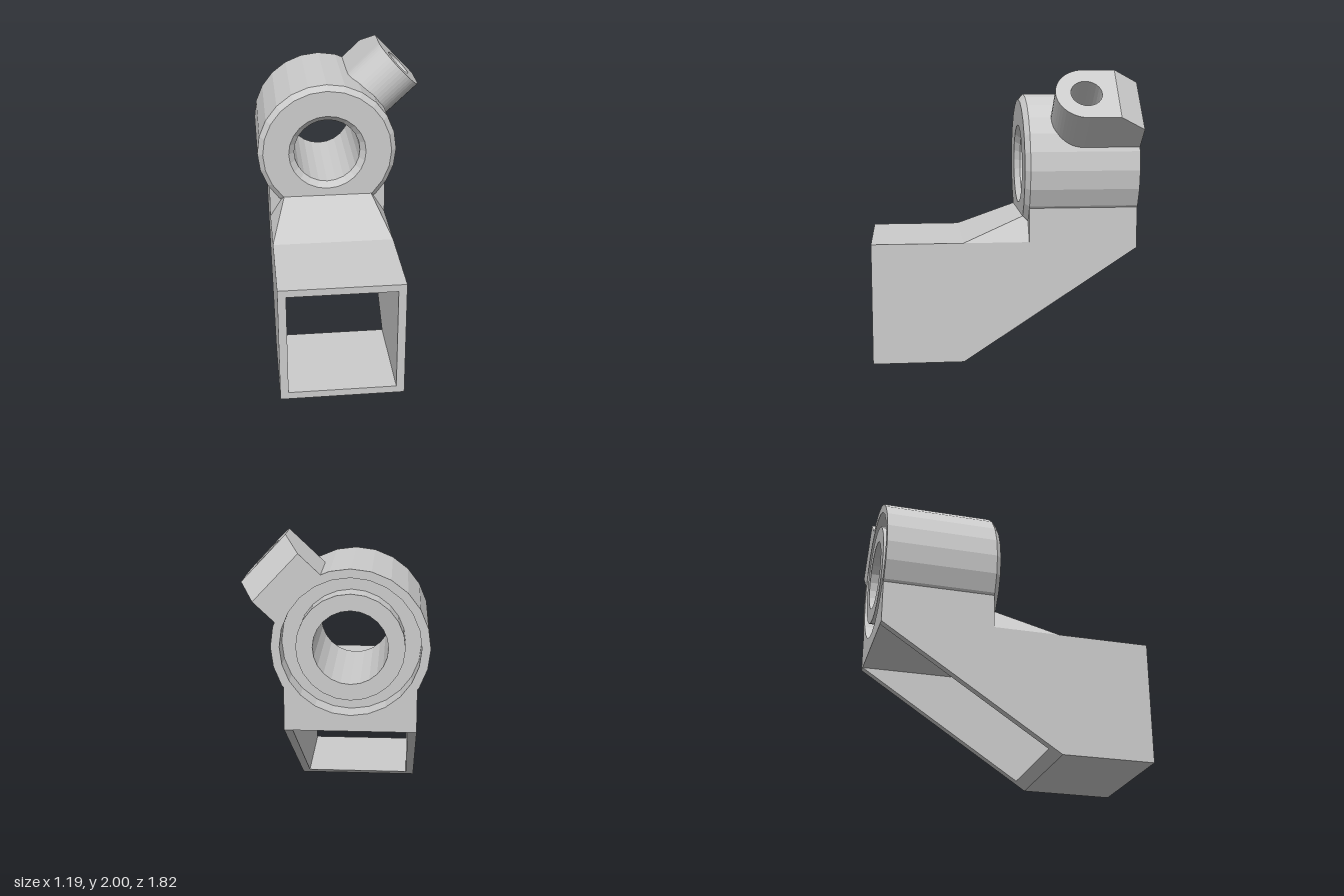
import * as THREE from 'three';

const CX = -0.1025;      // centre line of the bracket
const HALF = 0.4175;     // half width of the box section
const CY = 1.33;         // height of the bore axis
const BACK = -0.91, FRONT = 0.91;

export function createModel() {
  const model = new THREE.Group();
  model.name = 'mountingBracket';
  const grey = new THREE.MeshStandardMaterial({ color: 0xcccccc, flatShading: true });
  const add = (name, geometry, parent = model) => {
    const mesh = new THREE.Mesh(geometry, grey);
    mesh.name = name;
    parent.add(mesh);
    return mesh;
  };

  // Side profile of [z, y] points, extruded across x from x0 to x1
  const across = (points, x0, x1) => {
    const shape = new THREE.Shape(points.map(([z, y]) => new THREE.Vector2(z, y)));
    return new THREE.ExtrudeGeometry(shape, { depth: x1 - x0, bevelEnabled: false })
      .rotateY(-Math.PI / 2).translate(x1, 0, 0);
  };

  // Hollow box arm: two side walls, floor and roof, cut off on a slope underneath
  const wall = 0.055, L = CX - HALF, R = CX + HALF;
  const side = [[FRONT, 0], [FRONT, 0.835], [BACK, 0.835], [BACK, 0.785], [0.285, 0]];
  add('rightWall', across(side, L, L + wall));
  add('leftWall', across(side, R - wall, R));
  add('floor', across([[FRONT, 0], [FRONT, 0.05], [0.209, 0.05], [0.285, 0]], L + wall, R - wall));
  add('roof', across([[FRONT, 0.785], [FRONT, 0.835], [BACK, 0.835], [BACK, 0.785]], L + wall, R - wall));

  // Saddle block, hollowed by an arc so it carries the ring
  const r = 0.47, a = Math.acos(HALF / r);
  const saddle = new THREE.Shape();
  saddle.moveTo(-HALF, 0.8 - CY);
  saddle.lineTo(HALF, 0.8 - CY);
  saddle.lineTo(HALF, -r * Math.sin(a));
  saddle.absarc(0, 0, r, -a, -Math.PI + a, true);
  add('saddle', new THREE.ExtrudeGeometry(saddle, { depth: -0.165 - BACK, bevelEnabled: false, curveSegments: 16 }))
    .position.set(CX, CY, BACK);

  // Sloped gusset in front of the ring: a wedge whose upper edge is narrower
  const gusset = across([[0.285, 0.835], [-0.13, 1.0], [-0.2, 1.0], [-0.2, 0.835]], L, R);
  const gp = gusset.attributes.position;
  for (let i = 0; i < gp.count; i++) {
    if (gp.getY(i) > 0.9) gp.setX(i, CX + Math.sign(gp.getX(i) - CX) * 0.315);
  }
  gusset.computeVertexNormals();
  add('gusset', gusset);

  // Ring with chamfered front, through bore and a groove around the rear hub
  const ring = [
    [0.235, BACK], [0.34, BACK], [0.34, -0.77], [0.44, -0.77], [0.44, BACK],
    [0.495, BACK], [0.495, -0.165], [0.458, -0.13], [0.275, -0.13], [0.235, -0.17], [0.235, BACK],
  ].map(([x, y]) => new THREE.Vector2(x, y));
  add('ring', new THREE.LatheGeometry(ring, 24).rotateX(Math.PI / 2)).position.set(CX, CY, 0);

  // Lug frame: local x = model z, local z points outward from the bore axis
  const t = THREE.MathUtils.degToRad(43.3);
  const lug = new THREE.Group();
  lug.name = 'lug';
  lug.quaternion.setFromRotationMatrix(new THREE.Matrix4().makeBasis(
    new THREE.Vector3(0, 0, 1),
    new THREE.Vector3(Math.sin(t), -Math.cos(t), 0),
    new THREE.Vector3(Math.cos(t), Math.sin(t), 0)));
  lug.position.set(CX, CY, 0);
  model.add(lug);

  // Rounded front of the lug with its screw hole
  const w = 0.207, zc = -0.525, zt = -0.735, u0 = 0.442, u1 = 0.759;
  const eye = new THREE.Shape();
  eye.moveTo(zt, -w);
  eye.lineTo(zc, -w);
  eye.absarc(zc, 0, w, -Math.PI / 2, Math.PI / 2, false);
  eye.lineTo(zt, w);
  const hole = new THREE.Path();
  hole.absarc(zc, 0, 0.105, 0, Math.PI * 2, true);
  eye.holes.push(hole);
  add('lugEye', new THREE.ExtrudeGeometry(eye, { depth: u1 - u0, bevelEnabled: false, curveSegments: 12 }), lug)
    .position.z = u0;

  // Rear of the lug, its outer face sloping down to the back
  const tail = new THREE.BoxGeometry(zt - BACK, 2 * w, u1 - u0)
    .translate((zt + BACK) / 2, 0, (u0 + u1) / 2);
  const tp = tail.attributes.position;
  for (let i = 0; i < tp.count; i++) {
    if (tp.getX(i) < -0.9 && tp.getZ(i) > 0.7) tp.setZ(i, u1 - 0.127);
  }
  tail.computeVertexNormals();
  add('lugTail', tail, lug);

  return model;
}
